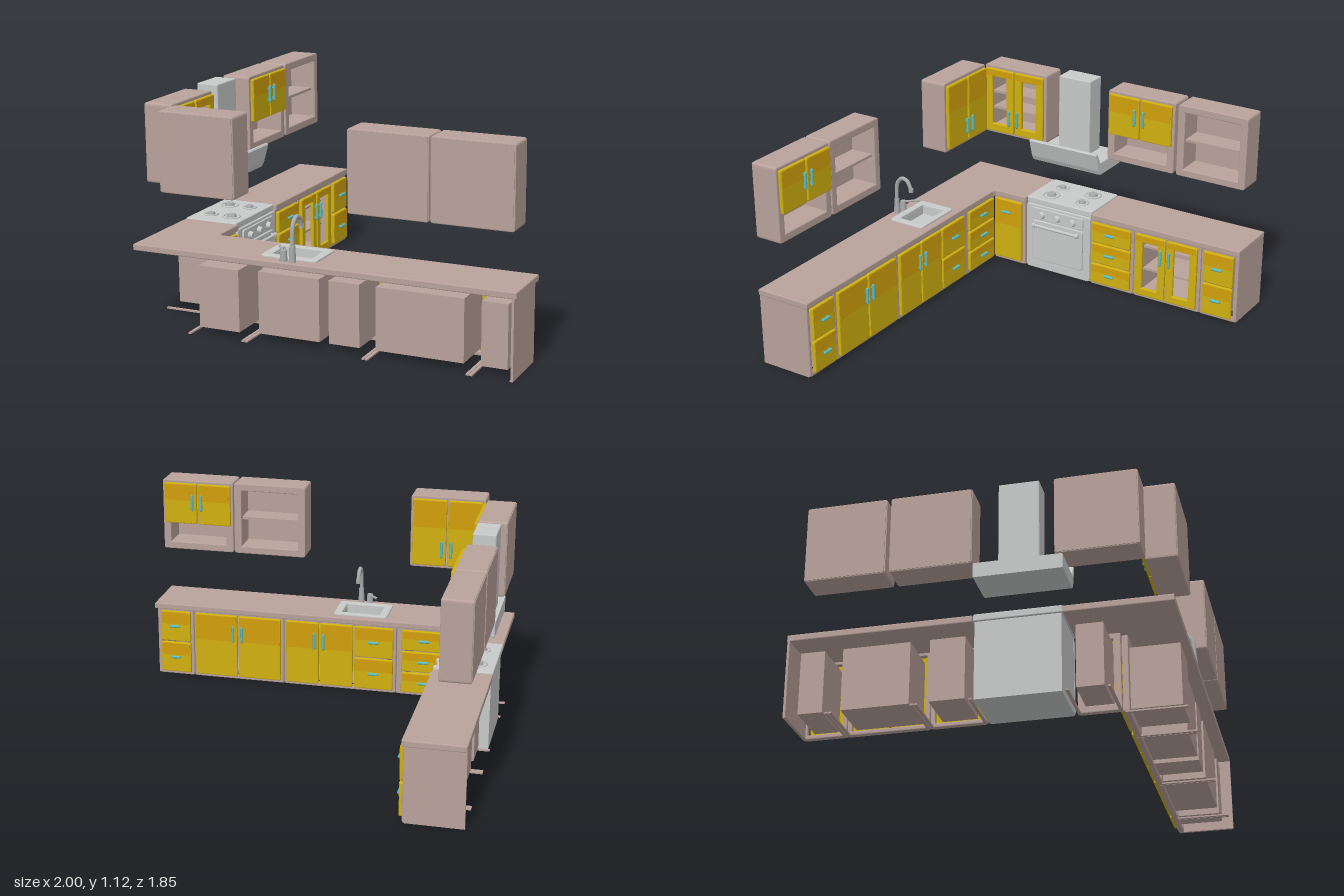
import * as THREE from 'three';

const mat = (name, color, side = THREE.FrontSide) => {
  const m = new THREE.MeshStandardMaterial({ color, side });
  m.name = name;
  return m;
};
const M = {
  body: mat('mauve', 0xb9a29b),
  door: mat('yellow', 0xd0b010),
  band: mat('amber', 0xd2a00c),
  steel: mat('light steel', 0xc8c9c9),
  metal: mat('metal', 0xa9abac),
  handle: mat('teal', 0x5dbcc0),
};

function add(parent, name, geo, material, x = 0, y = 0, z = 0) {
  const m = new THREE.Mesh(geo, material);
  m.name = name;
  m.position.set(x, y, z);
  parent.add(m);
  return m;
}
// box given by its two corners
function box(parent, name, material, [x0, x1], [y0, y1], [z0, z1]) {
  return add(parent, name, new THREE.BoxGeometry(x1 - x0, y1 - y0, z1 - z0), material,
    (x0 + x1) / 2, (y0 + y1) / 2, (z0 + z1) / 2);
}
// rounded rectangle as a shape or a hole
function rect(x0, x1, y0, y1, r, T = THREE.Shape) {
  const s = new T();
  s.moveTo(x0 + r, y0);
  s.lineTo(x1 - r, y0); s.quadraticCurveTo(x1, y0, x1, y0 + r);
  s.lineTo(x1, y1 - r); s.quadraticCurveTo(x1, y1, x1 - r, y1);
  s.lineTo(x0 + r, y1); s.quadraticCurveTo(x0, y1, x0, y1 - r);
  s.lineTo(x0, y0 + r); s.quadraticCurveTo(x0, y0, x0 + r, y0);
  return s;
}
const hole = (x0, x1, y0, y1) => rect(x0, x1, y0, y1, 0.002, THREE.Path);
// bevelled slab from z = 0 to z = t
function slab(shape, t, b = 0.005) {
  return new THREE.ExtrudeGeometry(shape, {
    depth: t - 2 * b, bevelEnabled: true, bevelSize: b, bevelThickness: b,
    bevelOffset: -b, bevelSegments: 2, curveSegments: 3,
  }).translate(0, 0, b);
}

// pull: a bar on two posts
function pull(parent, x, y, z, vertical) {
  const g = new THREE.Group();
  g.name = 'handle';
  add(g, 'handleBar', new THREE.CapsuleGeometry(0.008, 0.08, 3, 8), M.handle, 0, 0, 0.012);
  for (const s of [-1, 1]) box(g, 'handlePost', M.handle, [-0.005, 0.005], [s * 0.03 - 0.005, s * 0.03 + 0.005], [0, 0.012]);
  if (!vertical) { g.rotation.z = Math.PI / 2; g.scale.y = 0.62; }
  g.position.set(x, y, z);
  parent.add(g);
}

// door or drawer front; win = rail width of an open window
function front(parent, [x0, x1], [y0, y1], z, { win = 0, name = 'door' } = {}) {
  const s = rect(x0, x1, y0, y1, 0.01), w = 0.006, t = 0.02;
  if (win) s.holes.push(hole(x0 + win, x1 - win, y0 + win, y1 - win));
  add(parent, name, slab(s, t), M.door, 0, 0, z);
  const yb = win ? y1 - win + w : y1 - (y1 - y0) * 0.42;
  box(parent, name + 'UpperBand', M.band, [x0 + w, x1 - w], [yb, y1 - w], [z + t - 0.001, z + t + 0.001]);
}
function doorPair(parent, [x0, x1], ys, z, handleY, win = 0) {
  const c = (x0 + x1) / 2;
  for (const s of [-1, 1]) {
    front(parent, s < 0 ? [x0, c - 0.004] : [c + 0.004, x1], ys, z, { win });
    pull(parent, c + s * 0.026, handleY, z + 0.02, true);
  }
}
function drawers(parent, [x0, x1], n) {
  const h = (0.39 - 0.025 + 0.008) / n;
  for (let i = 0; i < n; i++) {
    const y = 0.025 + i * h;
    front(parent, [x0, x1], [y, y + h - 0.008], 0, { name: 'drawer' });
    pull(parent, (x0 + x1) / 2, y + h / 2, 0.02, false);
  }
}

// hollow inner box of a lower cabinet, open to the front
function carcass(parent, [x0, x1], back = -0.245, shelves = []) {
  const t = 0.006, Y = [0.04, 0.355], Z = [back, -0.004];
  box(parent, 'innerBack', M.body, [x0, x1], Y, [back, back + t]);
  for (const x of [x0, x1 - t]) box(parent, 'innerSide', M.body, [x, x + t], Y, Z);
  for (const y of [Y[0], Y[1] - t]) box(parent, 'innerFloor', M.body, [x0, x1], [y, y + t], Z);
  for (const y of shelves) box(parent, 'shelf', M.body, [x0, x1], [y, y + 0.012], [back, -0.03]);
}
function lower(parent, name, [x0, x1], inner, shelves, edge = 0.022, back) {
  const g = new THREE.Group();
  g.name = name;
  const s = rect(x0, x1, 0.005, 0.405, 0.014);
  s.holes.push(hole(x0 + edge, x1 - edge, 0.005 + edge, 0.405 - edge));
  add(g, 'faceFrame', slab(s, 0.03), M.body, 0, 0, -0.03);
  for (const b of inner) carcass(g, b, back, shelves);
  // narrow bottom runners at both sides
  for (const x of [x0, x1 - 0.015]) box(g, 'runner', M.body, [x, x + 0.015], [0.005, 0.013], [-0.3, -0.01]);
  parent.add(g);
  return g;
}

const UP = [0.71, 1.115];
// wall cabinet: opening is [y0, y1] or null, shelves are heights
function upper(parent, name, [x0, x1], [o0, o1], shelves = []) {
  const g = new THREE.Group();
  g.name = name;
  const s = rect(x0, x1, ...UP, 0.014);
  s.holes.push(hole(x0 + 0.042, x1 - 0.042, o0, o1));
  add(g, 'wallCabinetBody', slab(s, 0.152), M.body, 0, 0, -0.297);
  box(g, 'wallCabinetBack', M.body, [x0 + 0.006, x1 - 0.006], [UP[0] + 0.006, UP[1] - 0.006], [-0.3, -0.293]);
  for (const y of shelves) box(g, 'shelf', M.body, [x0 + 0.04, x1 - 0.04], [y, y + 0.014], [-0.295, -0.165]);
  parent.add(g);
  return g;
}

// cooker, with its hood and chimney
function cooker(parent) {
  const g = new THREE.Group(), c = -0.19;
  g.name = 'cooker';
  box(g, 'ovenBody', M.steel, [c - 0.205, c + 0.205], [0.008, 0.4], [-0.29, -0.012]);
  add(g, 'ovenFace', slab(rect(c - 0.207, c + 0.207, 0.008, 0.402, 0.016), 0.025), M.steel, 0, 0, -0.02);
  add(g, 'controlPanel', slab(rect(c - 0.165, c + 0.165, 0.318, 0.388, 0.01), 0.012, 0.003), M.steel, 0, 0, 0.003);
  add(g, 'ovenDoor', slab(rect(c - 0.165, c + 0.165, 0.07, 0.312, 0.014), 0.014, 0.004), M.steel, 0, 0, 0.003);
  for (const d of [-0.1, 0, 0.1])
    add(g, 'knob', new THREE.CylinderGeometry(0.016, 0.021, 0.022, 12).rotateX(Math.PI / 2), M.steel, c + d, 0.35, 0.025);
  add(g, 'ovenHandle', new THREE.CapsuleGeometry(0.009, 0.29, 3, 10).rotateZ(Math.PI / 2), M.steel, c, 0.288, 0.036);
  for (const d of [-0.14, 0.14]) {
    add(g, 'handleMount', new THREE.CylinderGeometry(0.008, 0.008, 0.03, 8).rotateX(Math.PI / 2), M.steel, c + d, 0.288, 0.024);
    add(g, 'handleCollar', new THREE.CylinderGeometry(0.013, 0.013, 0.018, 10).rotateZ(Math.PI / 2), M.steel, c + d, 0.288, 0.036);
  }
  add(g, 'cooktop', slab(rect(c - 0.212, c + 0.212, 0, 0.295, 0.012), 0.036).rotateX(-Math.PI / 2), M.steel, 0, 0.4, 0);
  for (const [x, z, r] of [[-0.1, -0.21, 0.035], [0.1, -0.21, 0.045], [-0.1, -0.09, 0.045], [0.1, -0.09, 0.035]]) {
    add(g, 'burnerRing', new THREE.TorusGeometry(r, 0.005, 6, 20).rotateX(Math.PI / 2), M.steel, c + x, 0.438, z);
    add(g, 'burner', new THREE.CylinderGeometry(r * 0.5, r * 0.6, 0.014, 16), M.metal, c + x, 0.443, z);
  }
  // hood profile, flaring up to a front lip
  const p = [[0.3, 0.63], [0.09, 0.63], [0.072, 0.638], [0.058, 0.665], [0.03, 0.762], [0.036, 0.77], [0.05, 0.768], [0.085, 0.705], [0.3, 0.705]];
  const hood = new THREE.ExtrudeGeometry(new THREE.Shape(p.map(([a, y]) => new THREE.Vector2(a, y))),
    { depth: 0.424, bevelEnabled: true, bevelSize: 0.004, bevelThickness: 0.004, bevelOffset: -0.004, bevelSegments: 1 });
  add(g, 'hood', hood.rotateY(Math.PI / 2), M.steel, c - 0.212, 0, 0);
  add(g, 'chimney', slab(rect(c - 0.1, c + 0.1, 0.155, 0.275, 0.008), 0.43).rotateX(-Math.PI / 2), M.steel, 0, 0.7, 0);
  // the two profiles above run backward from the front edge
  parent.add(g);
  g.children.filter((m) => m.name === 'cooktop' || m.name === 'chimney').forEach((m) => {
    m.position.z = m.name === 'cooktop' ? -0.005 : 0;
  });
  hood.scale(1, 1, 1);
}

function sink(parent) {
  const g = new THREE.Group();
  g.name = 'sink';
  const rim = rect(-0.325, -0.025, -0.86, -0.645, 0.02);
  rim.holes.push(hole(-0.28, -0.068, -0.82, -0.68));
  add(g, 'sinkRim', slab(rim, 0.02).rotateX(-Math.PI / 2), M.steel, 0, 0.422, 0);
  const Y = [0.38, 0.43];
  box(g, 'basinFloor', M.steel, [-0.282, -0.066], [0.38, 0.386], [0.678, 0.822]);
  for (const x of [-0.285, -0.07]) box(g, 'basinSide', M.steel, [x, x + 0.007], Y, [0.676, 0.824]);
  for (const z of [0.674, 0.819]) box(g, 'basinSide', M.steel, [-0.285, -0.063], Y, [z, z + 0.007]);
  // swan-neck tap with side lever
  const v = (x, y, z) => new THREE.Vector3(x, y, z);
  const neck = new THREE.CatmullRomCurve3([v(-0.135, 0.43, 0.89), v(-0.135, 0.54, 0.89), v(-0.135, 0.61, 0.882),
    v(-0.135, 0.645, 0.85), v(-0.135, 0.635, 0.815), v(-0.135, 0.585, 0.79)]);
  add(g, 'tapNeck', new THREE.TubeGeometry(neck, 24, 0.011, 10), M.metal);
  add(g, 'tapBase', new THREE.CylinderGeometry(0.014, 0.018, 0.09, 12), M.metal, -0.135, 0.47, 0.89);
  add(g, 'tapNozzle', new THREE.CylinderGeometry(0.013, 0.013, 0.02, 10), M.metal, -0.135, 0.586, 0.791);
  add(g, 'leverBase', new THREE.CylinderGeometry(0.016, 0.019, 0.055, 12), M.metal, -0.185, 0.457, 0.885);
  const lever = new THREE.LineCurve3(v(-0.185, 0.478, 0.885), v(-0.24, 0.484, 0.815));
  add(g, 'lever', new THREE.TubeGeometry(lever, 1, 0.007, 8), M.metal);
  parent.add(g);
}

export function createModel() {
  const root = new THREE.Group();
  root.name = 'cornerKitchen';

  // side run: local x = -z, faces +x
  const side = new THREE.Group();
  side.name = 'sideRun';
  side.rotation.y = Math.PI / 2;
  side.position.x = -0.7;
  // long run: local x = -x, faces -z
  const long = new THREE.Group();
  long.name = 'longRun';
  long.rotation.y = Math.PI;
  long.position.z = 0.62;
  root.add(side, long);

  // side run, lower cabinets
  let g = lower(side, 'cornerCabinet', [-0.62, -0.412], [[-0.58, -0.45]], [], 0.035);
  front(g, [-0.605, -0.428], [0.025, 0.39], 0);
  pull(g, -0.52, 0.32, 0.02, false);
  g = lower(side, 'threeDrawerCabinet', [0.02, 0.293], [[0.07, 0.24]], []);
  drawers(g, [0.032, 0.28], 3);
  g = lower(side, 'glassFrontCabinet', [0.297, 0.703], [[0.335, 0.665]], [0.16, 0.295]);
  doorPair(g, [0.312, 0.688], [0.025, 0.39], 0, 0.285, 0.044);
  g = lower(side, 'twoDrawerCabinet', [0.707, 0.926], [[0.755, 0.875]], []);
  drawers(g, [0.725, 0.902], 2);
  box(side, 'endPanel', M.body, [0.914, 0.926], [0.008, 0.402], [-0.3, -0.006]);
  cooker(side);

  // long run, lower cabinets
  g = lower(long, 'threeDrawerCabinet', [0.39, 0.7], [[0.43, 0.65]], [], 0.04, -0.27);
  drawers(g, [0.42, 0.67], 3);
  g = lower(long, 'sinkCabinet', [-0.25, 0.387], [[0.01, 0.335], [-0.2, -0.04]], []);
  doorPair(g, [-0.235, 0.145], [0.025, 0.39], 0, 0.285);
  drawers(g, [0.155, 0.372], 2);
  g = lower(long, 'wideCabinet', [-0.775, -0.253], [[-0.73, -0.285]], []);
  doorPair(g, [-0.762, -0.268], [0.025, 0.39], 0, 0.285);
  g = lower(long, 'twoDrawerCabinet', [-0.99, -0.778], [[-0.945, -0.815]], []);
  drawers(g, [-0.967, -0.793], 2);
  box(long, 'endPanel', M.body, [-0.99, -0.978], [0.008, 0.402], [-0.3, -0.006]);

  // wall cabinets
  const full = [0.752, 1.073], niche = [0.752, 0.868], fz = -0.145;
  g = upper(side, 'glassWallCabinet', [-0.77, -0.365], full, [0.85, 0.945]);
  doorPair(g, [-0.758, -0.378], [0.727, 1.1], fz, 0.825, 0.046);
  g = upper(side, 'nicheWallCabinet', [0.032, 0.44], niche);
  doorPair(g, [0.045, 0.428], [0.868, 1.1], fz, 0.995);
  upper(side, 'openWallShelf', [0.457, 0.865], full, [0.905]);
  g = upper(long, 'cornerWallCabinet', [0.428, 0.835], full);
  doorPair(g, [0.441, 0.822], [0.727, 1.1], fz, 0.825);
  g = upper(long, 'nicheWallCabinet', [-0.985, -0.578], niche);
  doorPair(g, [-0.972, -0.59], [0.868, 1.1], fz, 0.995);
  upper(long, 'openWallShelf', [-0.572, -0.165], full, [0.905]);

  // worktop in two pieces either side of the cooker
  const L = new THREE.Shape([[-1, -0.917], [1, -0.917], [1, -0.606], [-0.66, -0.606], [-0.681, -0.6], [-0.69, -0.58],
    [-0.69, -0.402], [-1, -0.402]].map(([x, y]) => new THREE.Vector2(x, y)));
  L.holes.push(hole(-0.29, -0.058, -0.83, -0.67));
  add(root, 'worktopCorner', slab(L, 0.034).rotateX(-Math.PI / 2), M.body, 0, 0.398, 0);
  add(root, 'worktopSide', slab(rect(-1, -0.69, 0.024, 0.93, 0.008), 0.034).rotateX(-Math.PI / 2), M.body, 0, 0.398, 0);
  sink(root);
  return root;
}
